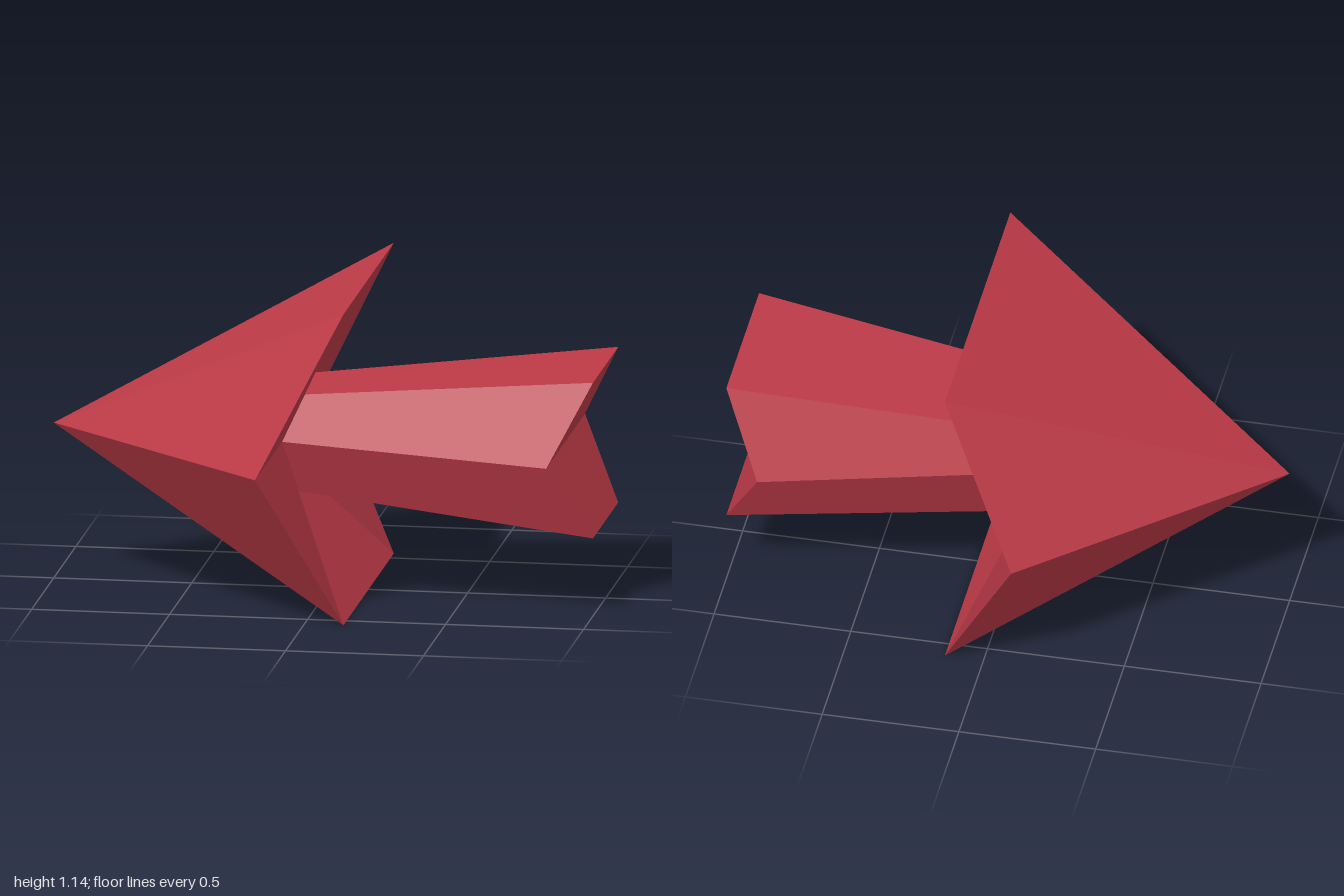
import * as THREE from 'three';

const MID = 0.571; // height of the centre line

// Six-sided ring: corner x, side-point x, half height, corner half depth, side half depth
function ring(xCorner, xSide, h, zCorner, zSide) {
  return [[1, 1], [0, 1], [-1, 1], [-1, -1], [0, -1], [1, -1]].map(([v, s]) =>
    new THREE.Vector3(v ? xCorner : xSide, MID + v * h, s * (v ? zCorner : zSide)));
}

// Collects faces, each shaded with one normal across the whole polygon
class Faces {
  constructor() { this.pos = []; this.nor = []; }
  add(a, b, c, d, flip = false) {
    const n = c.clone().sub(a).cross((d ?? c).clone().sub(b)).normalize();
    const tris = !d ? [a, b, c] : flip ? [a, b, d, b, c, d] : [a, b, c, a, c, d];
    for (const p of tris) {
      this.pos.push(p.x, p.y, p.z);
      this.nor.push(n.x, n.y, n.z);
    }
  }
  // Band of quads from ring a to ring b, split from the corner points
  band(a, b) {
    for (let i = 0; i < 6; i++) {
      const j = (i + 1) % 6;
      this.add(a[i], a[j], b[j], b[i], i % 3 === 1);
    }
  }
  mesh(name, material) {
    const g = new THREE.BufferGeometry();
    g.setAttribute('position', new THREE.Float32BufferAttribute(this.pos, 3));
    g.setAttribute('normal', new THREE.Float32BufferAttribute(this.nor, 3));
    const m = new THREE.Mesh(g, material);
    m.name = name;
    return m;
  }
}

export function createModel() {
  const group = new THREE.Group();
  group.name = 'arrow';
  const red = new THREE.MeshStandardMaterial({ color: 0xbc3a47 });
  red.name = 'red';

  const tip = new THREE.Vector3(-1, MID, 0);
  const barb = ring(0.141, -0.145, 0.571, 0.571, 0.783);
  const neck = ring(-0.145, -0.145, 0.171, 0.171, 0.171);
  const tail = ring(1, 0.855, 0.286, 0.286, 0.44);

  // Pointed head with a hollowed back leading in to the neck
  const head = new Faces();
  for (let i = 0; i < 6; i++) head.add(tip, barb[(i + 1) % 6], barb[i]);
  head.band(barb, neck);
  group.add(head.mesh('arrowHead', red));

  // Flared shaft with a notched end
  const shaft = new Faces();
  shaft.band(neck, tail);
  shaft.add(tail[0], tail[1], tail[4], tail[5]);
  shaft.add(tail[1], tail[2], tail[3], tail[4]);
  group.add(shaft.mesh('shaft', red));

  return group;
}
